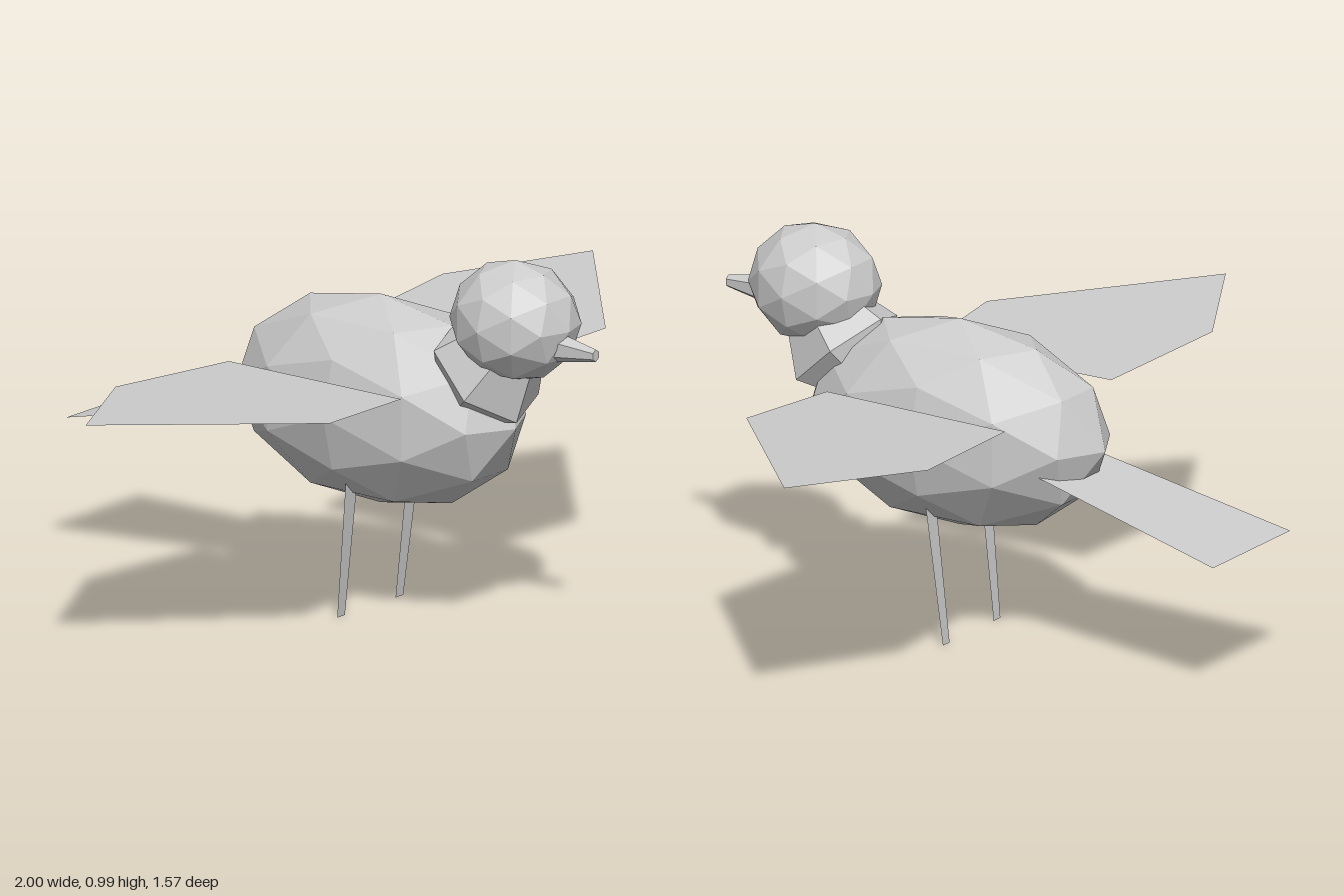
import * as THREE from 'three';

export function createModel() {
  const grey = new THREE.MeshStandardMaterial({ color: 0xcccccc, flatShading: true, side: THREE.DoubleSide });
  grey.name = 'plain grey';
  const bird = new THREE.Group();
  bird.name = 'bird';

  function add(name, geometry) {
    const mesh = new THREE.Mesh(geometry, grey);
    mesh.name = name;
    bird.add(mesh);
    return mesh;
  }

  // Faceted ball stretched to the given half sizes
  function ball(name, y, z, rx, ry, rz) {
    const g = new THREE.IcosahedronGeometry(1, 1);
    g.rotateY(Math.PI / 2).scale(rx, ry, rz);
    add(name, g).position.set(0, y, z);
  }

  // Flat sheet from corner points, fanned from the first corner
  function sheet(name, corners, side = 1) {
    const g = new THREE.BufferGeometry();
    g.setAttribute('position', new THREE.Float32BufferAttribute(
      corners.flatMap(([x, y, z]) => [x * side, y, z]), 3));
    const index = [];
    for (let i = 1; i < corners.length - 1; i++) {
      index.push(0, ...(side > 0 ? [i + 1, i] : [i, i + 1]));
    }
    g.setIndex(index);
    g.computeVertexNormals();
    add(name, g);
  }

  ball('body', 0.55, 0.09, 0.228, 0.272, 0.436);
  ball('head', 0.835, 0.525, 0.153, 0.156, 0.174);

  // Neck: six-sided collar leaning forward into the head
  const profile = [[0, -0.05], [0.12, -0.05], [0.16, 0], [0.085, 0.16]];
  const neck = new THREE.LatheGeometry(profile.map(p => new THREE.Vector2(...p)), 6, -0.17);
  neck.rotateX(0.72).scale(0.92, 1, 1);
  add('neck', neck).position.set(0, 0.68, 0.43);

  // Beak: short tapered stub
  const beak = new THREE.CylinderGeometry(0.016, 0.04, 0.125, 6);
  beak.rotateX(Math.PI / 2).scale(0.85, 1, 1);
  add('beak', beak).position.set(0, 0.79, 0.7225);

  // Wings and legs, mirrored
  const wingOutline = [[0.24, -0.205], [0.645, -0.24], [1, -0.045], [0.545, 0.37], [0.225, 0.34]];
  const wing = wingOutline.map(([x, z]) => [x, 0.645 + (x - 0.23) * 0.047, z]);
  const leg = [[0.1, 0.4, 0.1], [0.148, 0.4, 0.1], [0.13, 0, 0.055], [0.1, 0, 0.055]];
  for (const [label, side] of [['left', 1], ['right', -1]]) {
    sheet(label + 'Wing', wing, side);
    sheet(label + 'Leg', leg, side);
  }

  // Tail: sheet sloping down and widening to the back
  sheet('tail', [[0.125, 0.51, -0.17], [-0.125, 0.51, -0.17], [-0.175, 0.375, -0.785], [0.175, 0.375, -0.785]]);

  return bird;
}
